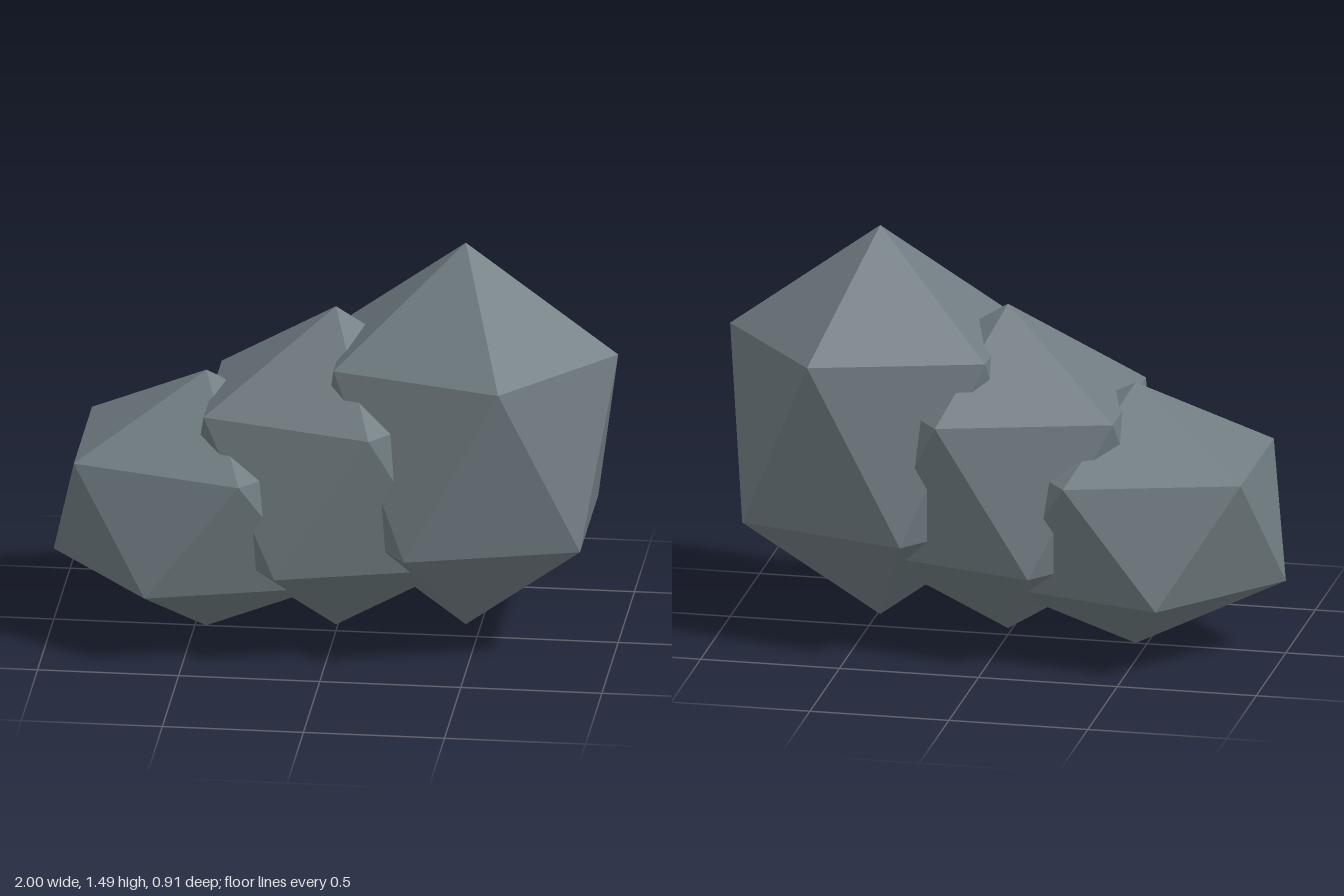
import * as THREE from 'three';

export function createModel() {
  const group = new THREE.Group();
  group.name = 'rockCluster';

  const stone = new THREE.MeshStandardMaterial({ color: 0x6f7b80 });
  stone.name = 'slateGrey';
  stone.flatShading = true;

  // Icosahedron turned to stand on a corner, with an upper ring corner at +x
  const golden = (1 + Math.sqrt(5)) / 2;
  const tilt = -Math.atan(1 / golden);

  function rock(name, x, bottom, top) {
    const geometry = new THREE.IcosahedronGeometry(1, 0);
    geometry.rotateZ(tilt);
    geometry.scale(0.604, (top - bottom) / 2, 0.532);
    geometry.computeVertexNormals();
    const mesh = new THREE.Mesh(geometry, stone);
    mesh.name = name;
    mesh.position.set(x, (top + bottom) / 2, 0);
    group.add(mesh);
  }

  // Three overlapping rocks, rising towards +x
  rock('smallRock', -0.46, 0, 0.965);
  rock('middleRock', 0, 0.024, 1.225);
  rock('tallRock', 0.46, 0.045, 1.485);

  return group;
}
